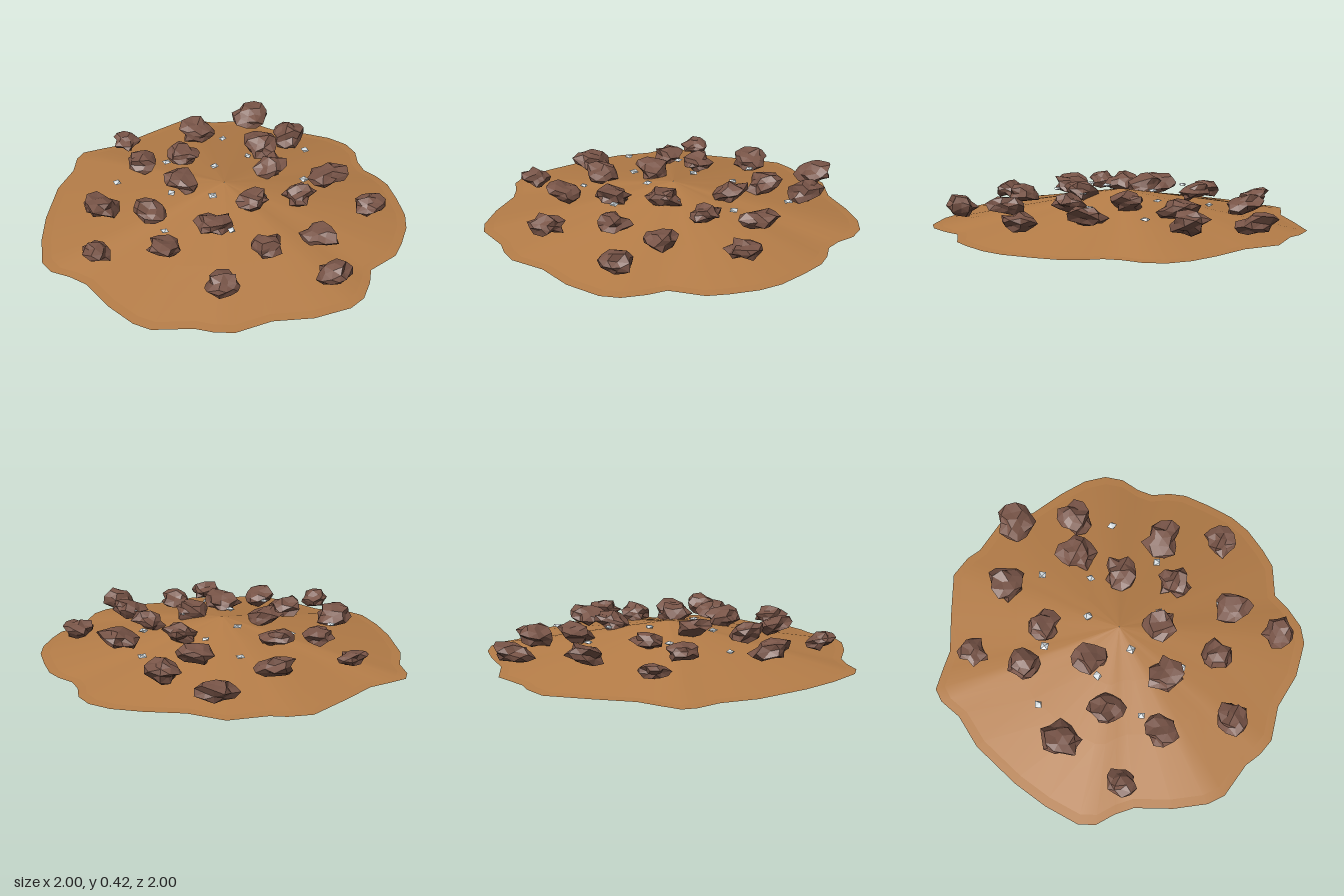
import * as THREE from 'three';
import { mergeVertices } from 'three/addons/utils/BufferGeometryUtils.js';

const material = (name, color, extra = {}) => {
  const m = new THREE.MeshStandardMaterial({ color, ...extra });
  m.name = name;
  return m;
};

function seeded(seed) {
  let s = seed;
  return () => {
    s = (s * 16807) % 2147483647;
    return s / 2147483647;
  };
}

// wavy rim of the mound as x, z pairs
const RIM = [
  [0, -1], [0.1, -0.97], [0.18, -0.9], [0.26, -0.86], [0.36, -0.86], [0.45, -0.84], [0.57, -0.77], [0.7, -0.68],
  [0.78, -0.59], [0.85, -0.46], [0.89, -0.36], [0.88, -0.18], [0.94, -0.1], [0.995, 0.01], [1, 0.11], [0.93, 0.29],
  [0.81, 0.45], [0.75, 0.63], [0.68, 0.7], [0.6, 0.75], [0.47, 0.9], [0.38, 0.935], [0.2, 0.945], [0, 0.925],
  [-0.1, 0.95], [-0.2, 0.995], [-0.29, 0.985], [-0.45, 0.88], [-0.6, 0.75], [-0.79, 0.54], [-0.88, 0.37],
  [-0.97, 0.28], [-1, 0.21], [-0.96, 0.1], [-0.92, 0], [-0.91, -0.21], [-0.89, -0.45], [-0.81, -0.545],
  [-0.74, -0.59], [-0.62, -0.75], [-0.43, -0.8], [-0.26, -0.91], [-0.12, -0.98],
];

// skin between scaled copies of the rim, each ring given as [scale, y], from the middle outwards
function rimSurface(rings, faceUp) {
  const n = RIM.length;
  const pos = [], index = [];
  for (const [s, y] of rings) for (const [x, z] of RIM) pos.push(x * s, y, z * s);
  for (let r = 0; r < rings.length - 1; r++) {
    for (let i = 0; i < n; i++) {
      const a = r * n + i, b = r * n + ((i + 1) % n), c = a + n, d = b + n;
      if (faceUp) index.push(a, d, c, a, b, d);
      else index.push(a, c, d, a, d, b);
    }
  }
  const g = new THREE.BufferGeometry();
  g.setAttribute('position', new THREE.Float32BufferAttribute(pos, 3));
  g.setIndex(index);
  g.computeVertexNormals();
  return g;
}

// jagged stone: a subdivided ball with its corners pushed in and out
function stoneGeometry(rand) {
  const ball = new THREE.IcosahedronGeometry(1, 1);
  ball.deleteAttribute('normal');
  ball.deleteAttribute('uv');
  const g = mergeVertices(ball, 1e-4);
  const p = g.attributes.position, v = new THREE.Vector3();
  for (let i = 0; i < p.count; i++) {
    v.fromBufferAttribute(p, i).multiplyScalar(0.63 + 0.58 * rand());
    p.setXYZ(i, v.x, v.y, v.z);
  }
  g.computeVertexNormals();
  return g;
}

// stones: x, z, radius, height as a share of the radius
const STONES = [
  [-0.52, -0.7, 0.1], [-0.19, -0.69, 0.09, 0.65], [-0.2, -0.46, 0.1], [0.28, -0.51, 0.1], [0.6, -0.48, 0.085],
  [-0.58, -0.32, 0.1], [0.03, -0.32, 0.09], [0.32, -0.24, 0.085], [-0.39, -0.05, 0.085], [-0.78, 0.05, 0.075],
  [0.22, 0, 0.095], [0.62, -0.08, 0.095], [0.85, 0.07, 0.08, 0.75], [-0.52, 0.15, 0.085], [-0.17, 0.15, 0.095],
  [0.5, 0.19, 0.09], [0.22, 0.27, 0.1], [-0.1, 0.43, 0.09], [-0.34, 0.57, 0.105], [0.17, 0.56, 0.09],
  [0.55, 0.52, 0.09], [-0.06, 0.8, 0.08],
];

// pale pebbles: x, z
const PEBBLES = [
  [0.01, -0.62], [-0.39, -0.35], [-0.13, -0.3], [0.235, -0.37], [-0.16, -0.075], [0.22, -0.07], [-0.4, 0.065],
  [0.05, 0.13], [-0.135, 0.255], [0.31, 0.24], [-0.45, 0.375], [0.075, 0.48], [0.555, -0.105],
];

export function createModel() {
  const model = new THREE.Group();
  const soil = material('soil', 0xb57d48);
  const stone = material('stone', 0x795548, { flatShading: true });
  const pale = material('palePebble', 0xdbe3e7, { flatShading: true });
  const rand = seeded(4711);

  const add = (name, geometry, mat, parent = model) => {
    const m = new THREE.Mesh(geometry, mat);
    m.name = name;
    parent.add(m);
    return m;
  };

  // low mound, its thin flat lip, and the cone below
  add('moundTop', rimSurface([[0.001, 0.37], [0.3, 0.316], [0.6, 0.26], [0.95, 0.195]], true), soil);
  add('moundLip', rimSurface([[0.95, 0.195], [1, 0.19]], true), soil);
  add('underside', rimSurface([[0.001, 0], [0.35, 0.067], [0.7, 0.134], [0.95, 0.183], [1, 0.19]], false), soil);

  // flattened stones hovering just over the slope, leaning inwards
  const stones = new THREE.Group();
  stones.name = 'stones';
  model.add(stones);
  STONES.forEach(([x, z, r, height = 0.54]) => {
    const m = add('stone', stoneGeometry(rand), stone, stones);
    const d = Math.hypot(x, z);
    const lean = x > 0.4 ? 0.08 : 0.25;
    m.position.set(x, 0.39 - 0.115 * d, z);
    m.scale.set(r * 1.02, r * height, r * 1.02);
    m.rotation.set((-z / d) * lean, 0, (x / d) * lean);
  });

  // small pale pebbles, turned at random and then flattened
  const pebbles = new THREE.Group();
  pebbles.name = 'pebbles';
  model.add(pebbles);
  PEBBLES.forEach(([x, z]) => {
    const chip = new THREE.OctahedronGeometry(0.024 + 0.006 * rand());
    chip.rotateX(rand() * 3).rotateZ(rand() * 3).rotateY(rand() * 3);
    const m = add('pebble', chip, pale, pebbles);
    m.position.set(x, 0.385 - 0.11 * Math.hypot(x, z), z);
    m.scale.y = 0.4;
  });

  return model;
}
